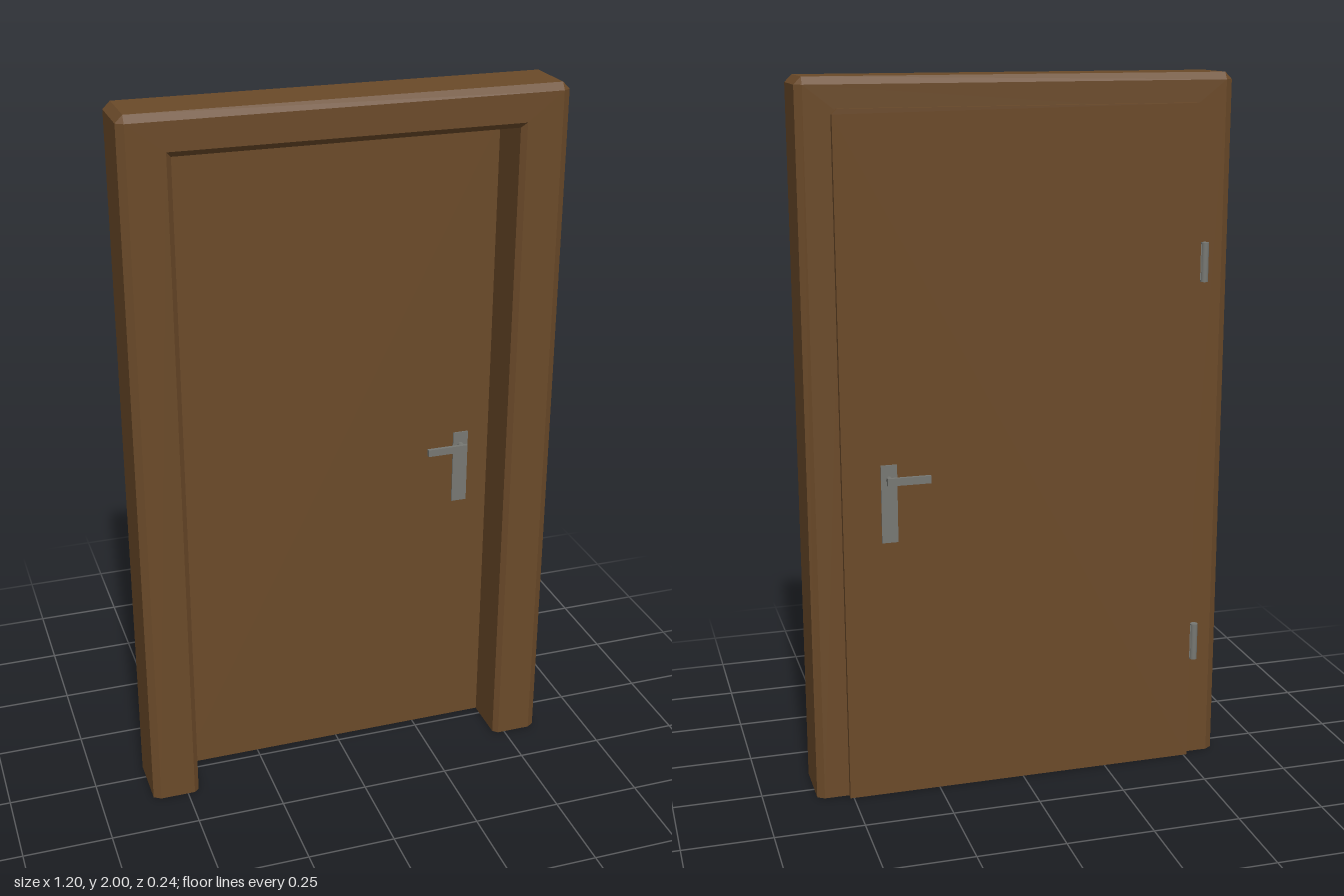
import * as THREE from 'three';

const wood = new THREE.MeshStandardMaterial({ color: 0x6b4a29, flatShading: true });
const metal = new THREE.MeshStandardMaterial({ color: 0x777873 });

function add(parent, name, geometry, material, x = 0, y = 0, z = 0) {
  const mesh = new THREE.Mesh(geometry, material);
  mesh.name = name;
  mesh.position.set(x, y, z);
  parent.add(mesh);
  return mesh;
}

// Chamfered, rebated cross-section swept up one jamb, across the head and down the other
function frameGeometry() {
  // [half width, height of the head, z, cut at the top corner]
  const profile = [
    [0.58, 1.98, 0.117, 0], [0.48, 1.903, 0.117, 0], [0.466, 1.888, 0.105, 0],
    [0.466, 1.888, -0.028, 0], [0.478, 1.9, -0.028, 0], [0.478, 1.9, -0.064, 0],
    [0.58, 1.98, -0.064, 0], [0.6, 2, -0.051, 0.02], [0.6, 2, 0.104, 0.02],
  ];
  const n = profile.length;
  // [side, height factor, share of the cut taken in x, share taken in y]
  const stations = [
    [-1, 0, 0, 0], [-1, 1, 0, 1], [-1, 1, 1, 0],
    [1, 1, 1, 0], [1, 1, 0, 1], [1, 0, 0, 0],
  ];
  const last = (stations.length - 1) * n;
  const positions = [];
  const index = [];
  for (const [side, top, cx, cy] of stations) {
    for (const [w, h, z, cut] of profile) {
      positions.push(side * (w - cx * cut), top * h - cy * cut, z);
    }
  }
  for (let s = 0; s < stations.length - 1; s++) {
    for (let i = 0; i < n; i++) {
      const a = s * n + i, b = s * n + (i + 1) % n;
      index.push(a, b, b + n, a, b + n, a + n);
    }
  }
  // Feet of the two jambs
  for (let i = 1; i < n - 1; i++) {
    index.push(0, i + 1, i, last, last + i, last + i + 1);
  }
  const g = new THREE.BufferGeometry();
  g.setAttribute('position', new THREE.Float32BufferAttribute(positions, 3));
  g.setIndex(index);
  const flat = g.toNonIndexed();
  flat.computeVertexNormals();
  return flat;
}

// Overlapping back layer of the leaf, with clipped top corners
function rebateGeometry() {
  const w = 0.51, h = 1.92, c = 0.014;
  const shape = new THREE.Shape([
    [-w, 0], [w, 0], [w, h - c], [w - c, h], [c - w, h], [-w, h - c],
  ].map(([x, y]) => new THREE.Vector2(x, y)));
  return new THREE.ExtrudeGeometry(shape, { depth: 0.017, bevelEnabled: false });
}

// Plate, neck and lever, built facing +z with the plate on z = 0
function makeHandle(name) {
  const handle = new THREE.Group();
  handle.name = name;
  add(handle, 'handlePlate', new THREE.BoxGeometry(0.045, 0.22, 0.004), metal, 0.381, 0.862, 0.002);
  const neck = add(handle, 'handleNeck', new THREE.CylinderGeometry(0.009, 0.009, 0.032, 16), metal, 0.381, 0.932, 0.016);
  neck.rotation.x = Math.PI / 2;
  add(handle, 'handleLever', new THREE.BoxGeometry(0.12, 0.021, 0.01), metal, 0.331, 0.932, 0.03);
  return handle;
}

export function createModel() {
  const model = new THREE.Group();
  model.name = 'door';

  add(model, 'doorFrame', frameGeometry(), wood);

  // Door leaf: inner panel seated in the frame and a wider rebate behind it
  const leaf = new THREE.Group();
  leaf.name = 'doorLeaf';
  model.add(leaf);
  add(leaf, 'innerPanel', new THREE.BoxGeometry(0.95, 1.897, 0.038), wood, 0, 0.9485, -0.048);
  add(leaf, 'rebatePanel', rebateGeometry(), wood, 0, 0, -0.084);

  // Handles on both faces
  const front = makeHandle('frontHandle');
  front.position.z = -0.029;
  const back = makeHandle('backHandle');
  back.scale.z = -1;
  back.position.z = -0.084;
  model.add(front, back);

  // Hinges
  for (const y of [0.36, 1.485]) {
    const hinge = new THREE.Group();
    hinge.name = 'hinge';
    add(hinge, 'hingeBarrel', new THREE.CylinderGeometry(0.011, 0.011, 0.11, 16), metal, -0.525, y, -0.077);
    add(hinge, 'hingeTab', new THREE.BoxGeometry(0.02, 0.1, 0.006), metal, -0.512, y, -0.077);
    model.add(hinge);
  }
  return model;
}
